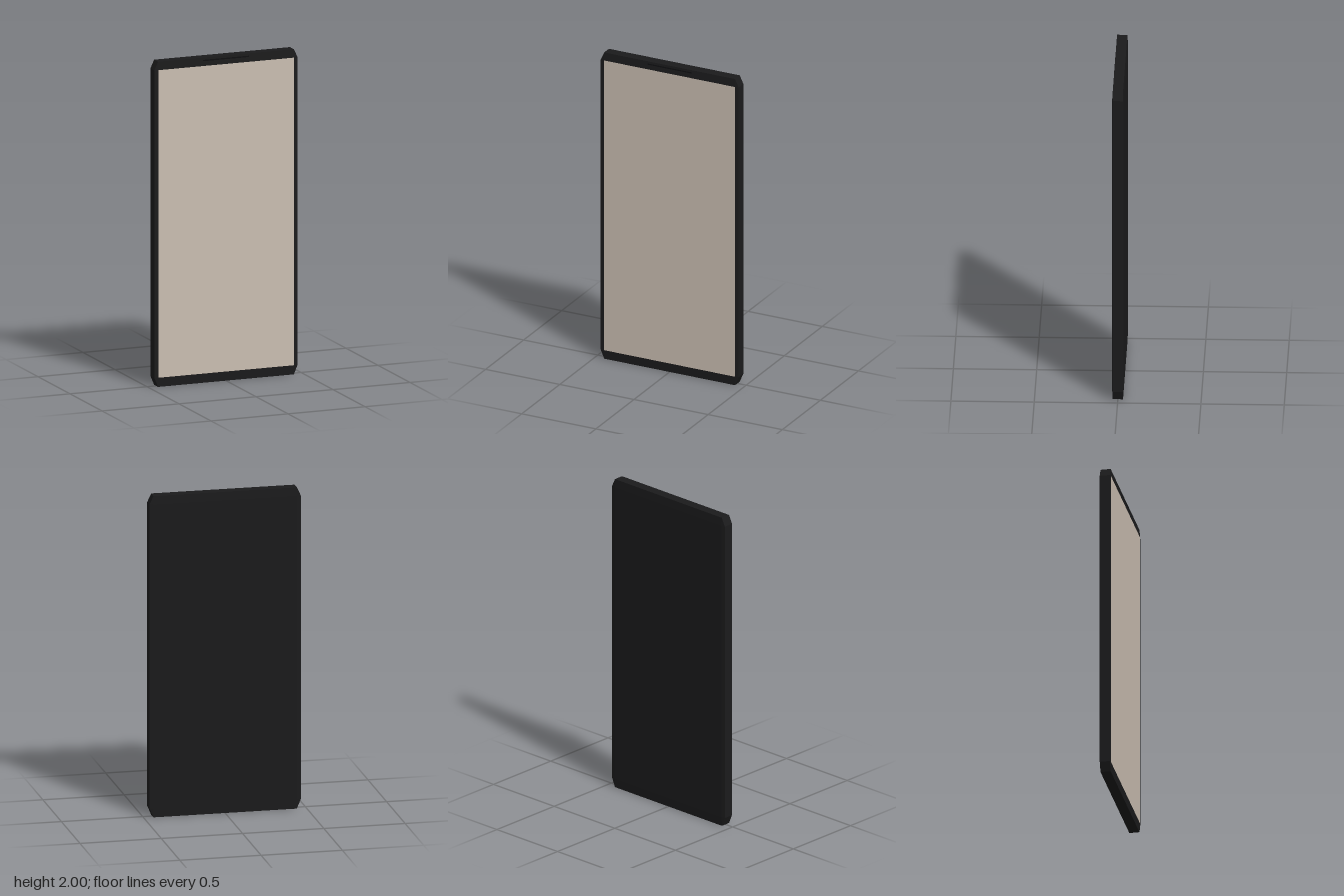
import * as THREE from 'three';

const BODY = 0x1b1b1c, SCREEN = 0xcabeb1, SLOT = 0x101012;
const HALF_W = 0.465, FACE_W = 0.441, FACE_BOTTOM = 0.057, FACE_TOP = 1.949;
const EDGE_Z = 0.031, FACE_Z = 0.034;

function part(name, geometry, color) {
  const mesh = new THREE.Mesh(geometry, new THREE.MeshStandardMaterial({ color, flatShading: true }));
  mesh.name = name;
  return mesh;
}

// Slab with cut corners whose border slopes gently back from the flat faces
function bodyGeometry() {
  const outline = [
    [HALF_W, FACE_BOTTOM], [HALF_W, FACE_TOP], [FACE_W, 2], [-FACE_W, 2],
    [-HALF_W, FACE_TOP], [-HALF_W, FACE_BOTTOM], [-FACE_W, 0], [FACE_W, 0],
  ];
  const inner = outline.map(([x, y]) => [
    Math.sign(x) * FACE_W, THREE.MathUtils.clamp(y, FACE_BOTTOM, FACE_TOP),
  ]);
  const rings = [[inner, -FACE_Z], [outline, -EDGE_Z], [outline, EDGE_Z], [inner, FACE_Z]];
  const positions = rings.flatMap(([ring, z]) => ring.flatMap(([x, y]) => [x, y, z]));
  const index = [];
  const n = outline.length;
  for (let r = 0; r < 3; r++) {
    for (let i = 0; i < n; i++) {
      const j = (i + 1) % n;
      const a = r * n + i, b = r * n + j, c = a + n, d = b + n;
      index.push(a, b, d, a, d, c);
    }
  }
  // back and front caps
  for (let i = 1; i < n - 1; i++) {
    index.push(0, i + 1, i, 3 * n, 3 * n + i, 3 * n + i + 1);
  }
  const geometry = new THREE.BufferGeometry();
  geometry.setAttribute('position', new THREE.Float32BufferAttribute(positions, 3));
  geometry.setIndex(index);
  const flat = geometry.toNonIndexed();
  flat.computeVertexNormals();
  return flat;
}

export function createModel() {
  const phone = new THREE.Group();
  phone.name = 'phone';

  phone.add(part('body', bodyGeometry(), BODY));

  // display lying flush in the front face
  const screen = part('screen', new THREE.PlaneGeometry(2 * FACE_W, FACE_TOP - FACE_BOTTOM), SCREEN);
  screen.position.set(0, (FACE_TOP + FACE_BOTTOM) / 2, FACE_Z + 0.0006);
  phone.add(screen);

  // thin earpiece slot in the top border
  const earpiece = part('earpiece', new THREE.BoxGeometry(0.3, 0.008, 0.002), SLOT);
  earpiece.position.set(0, 1.982, 0.0315);
  phone.add(earpiece);

  return phone;
}
